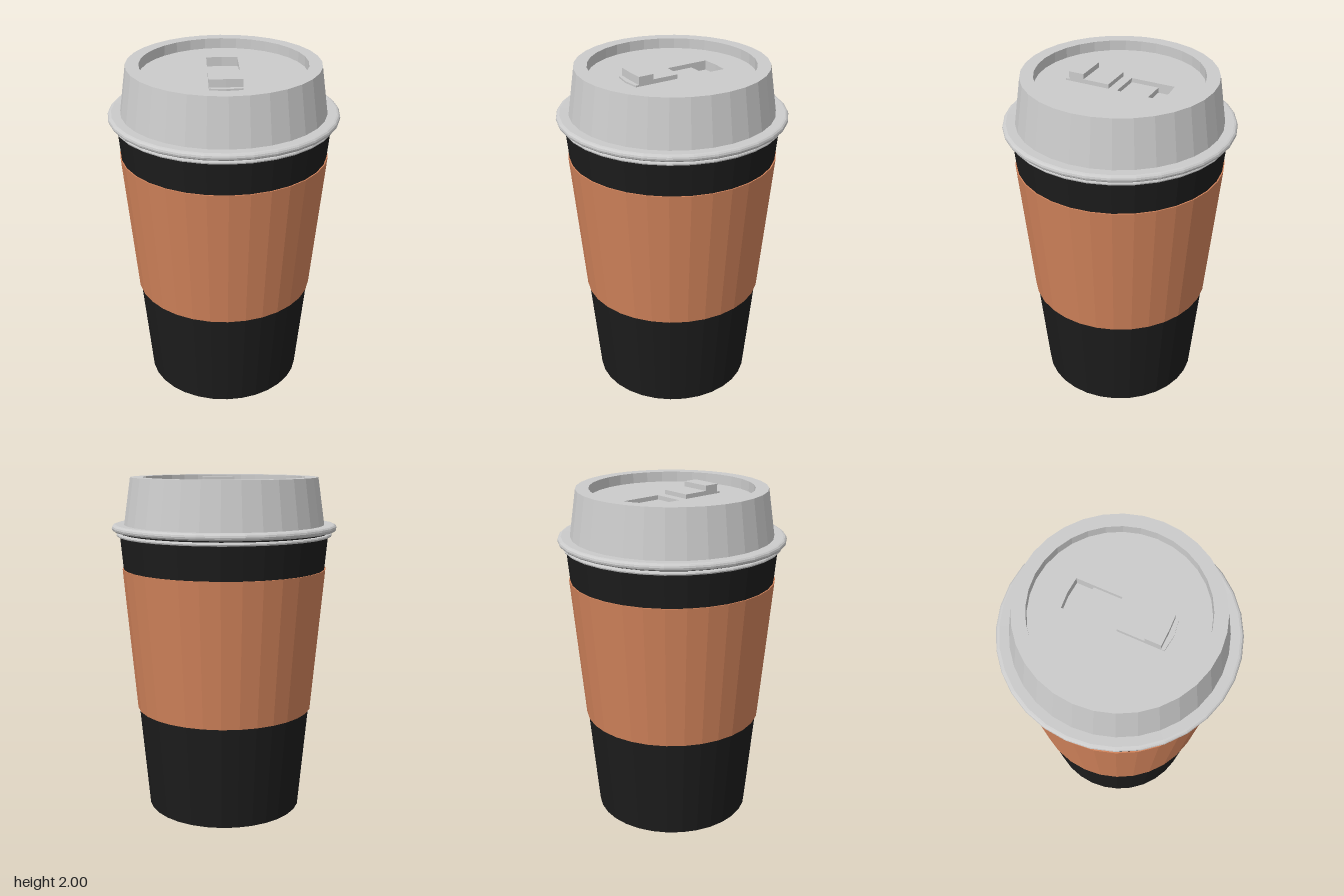
import * as THREE from 'three';

const SIDES = 32;

const material = (color) => new THREE.MeshStandardMaterial({ color, flatShading: true });
const lidMat = material(0xcccccc);
const cupMat = material(0x1c1c1c);
const sleeveMat = material(0xd0825a);

function add(parent, name, geometry, mat) {
  const mesh = new THREE.Mesh(geometry, mat);
  mesh.name = name;
  parent.add(mesh);
  return mesh;
}

// Turned part from [radius, y] pairs, listed from the underside outwards and up
function turned(parent, name, profile, mat) {
  const points = profile.map(([r, y]) => new THREE.Vector2(r, y));
  return add(parent, name, new THREE.LatheGeometry(points, SIDES), mat);
}

// Half-round bead for a profile, from its lower to its upper edge
function bead(radius, y, width, halfHeight, steps = 6) {
  return Array.from({ length: steps + 1 }, (_, i) => {
    const a = -Math.PI / 2 + (Math.PI * i) / steps;
    return [radius + width * Math.cos(a), y + halfHeight * Math.sin(a)];
  });
}

// Upright prism over an outline in [x, z], between two heights
function prism(outline, y0, y1, hole) {
  const path = (pts, Type) => new Type(pts.map(([x, z]) => new THREE.Vector2(x, -z)));
  const shape = path(outline, THREE.Shape);
  if (hole) shape.holes.push(path(hole, THREE.Path));
  const geo = new THREE.ExtrudeGeometry(shape, { depth: y1 - y0, bevelEnabled: false });
  return geo.rotateX(-Math.PI / 2).translate(0, y0, 0);
}

// Strip across the tab, with an optional slight bulge at its far end
const strip = (z0, z1, bulge = 0, w = 0.092) =>
  [[-w, z0], [-w, z1], [0, z1 + bulge], [w, z1], [w, z0]];

export function createModel() {
  const model = new THREE.Group();
  model.name = 'coffeeCup';

  // Tapered cup with a shallow recess underneath
  turned(model, 'cup', [
    [0, 0.01], [0.3, 0.01], [0.31, 0.006], [0.445, 0.006], [0.452, 0],
    [0.465, 0], [0.615, 1.66], [0.615, 1.7], [0.58, 1.7],
  ], cupMat);

  // Sleeve hugging the cup
  turned(model, 'sleeve', [
    [0.515, 0.62], [0.53, 0.62], [0.605, 1.47], [0.59, 1.47],
  ], sleeveMat);

  const lid = new THREE.Group();
  lid.name = 'lid';
  model.add(lid);

  // Thin ring below the lid flange
  turned(lid, 'snapRing', [[0.6, 1.66], ...bead(0.625, 1.67, 0.01, 0.01, 4), [0.6, 1.68]], lidMat);

  // Flange, sloping wall, top rim and the drop to the sunken floor
  turned(lid, 'lidShell', [
    [0.58, 1.69], ...bead(0.642, 1.71, 0.02, 0.02), [0.59, 1.728],
    [0.55, 2], [0.475, 2], [0.475, 1.93],
  ], lidMat);

  // Sunken floor with the drinking recess cut through it
  const circle = Array.from({ length: SIDES }, (_, i) => {
    const a = (i / SIDES) * Math.PI * 2;
    return [0.475 * Math.sin(a), 0.475 * Math.cos(a)];
  });
  const opening = strip(-0.027, -0.288, -0.007);
  add(lid, 'lidFloor', prism(circle, 1.885, 1.94, opening), lidMat);
  const base = new THREE.BoxGeometry(0.22, 0.01, 0.3).translate(0, 1.88, -0.16);
  add(lid, 'recessBottom', base, lidMat);
  const shelf = new THREE.BoxGeometry(0.184, 0.03, 0.166).translate(0, 1.9, -0.108);
  add(lid, 'recessShelf', shelf, lidMat);

  // Folded-back tab: low lip, flat strap and raised plug
  const tab = new THREE.Group();
  tab.name = 'tab';
  lid.add(tab);
  add(tab, 'tabLip', prism(strip(0.025, 0.288, 0.012), 1.935, 1.95), lidMat);
  add(tab, 'tabStrap', prism(strip(0.025, 0.2), 1.935, 1.965), lidMat);
  add(tab, 'tabPlug', prism(strip(0.178, 0.268, 0.003), 1.935, 1.995), lidMat);

  return model;
}
